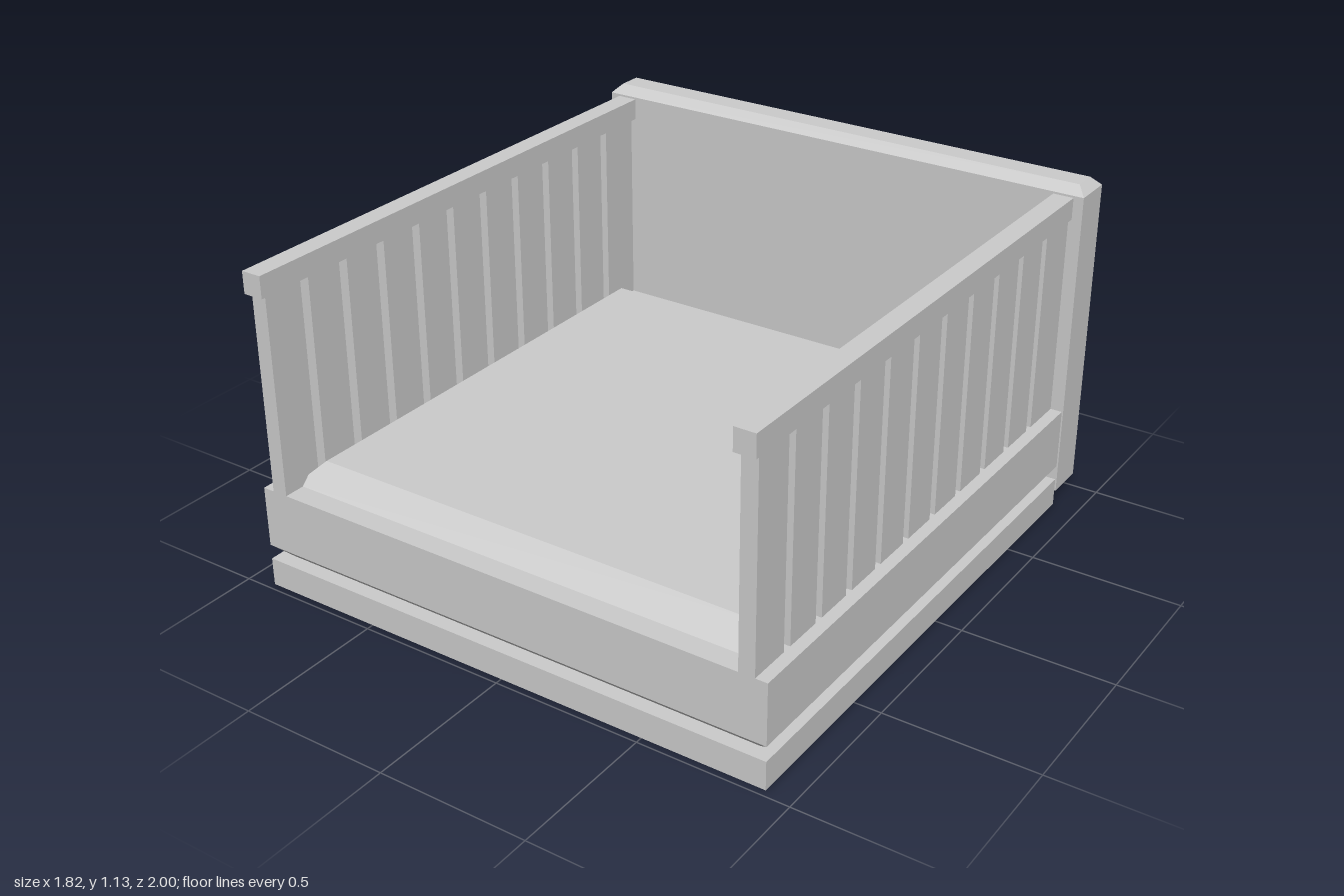
import * as THREE from 'three';

const material = new THREE.MeshStandardMaterial({ color: 0xcccccc, flatShading: true });

// Block from [x0,x1], [y0,y1], [z0,z1]; 45 degree chamfers may narrow its bottom or top
function block(name, [x0, x1], [y0, y1], [z0, z1], { top = 0, bottom = 0 } = {}) {
  const rings = [[y0, bottom], [y0 + bottom, 0], [y1 - top, 0], [y1, top]]
    .filter(([y], i, all) => i === 0 || y - all[i - 1][0] > 1e-6);
  // when a chamfer fills the full height only the end rings remain
  if (top && y1 - top - y0 < 1e-6) rings[0][1] = 0;
  const n = rings.length - 1;
  const geo = new THREE.BoxGeometry(1, 1, 1, 1, n, 1);
  const p = geo.attributes.position;
  for (let i = 0; i < p.count; i++) {
    const [y, inset] = rings[Math.round((p.getY(i) + 0.5) * n)];
    p.setXYZ(i,
      p.getX(i) < 0 ? x0 + inset : x1 - inset,
      y,
      p.getZ(i) < 0 ? z0 + inset : z1 - inset);
  }
  const flat = geo.toNonIndexed();
  flat.computeVertexNormals();
  const mesh = new THREE.Mesh(flat, material);
  mesh.name = name;
  return mesh;
}

export function createModel() {
  const bed = new THREE.Group();
  bed.name = 'bed';
  const W = 0.91, back = -0.848, front = 0.977;

  // Plinth and the frame with its undercut lower edge
  bed.add(block('plinth', [-W, W], [0, 0.095], [back, front]));
  bed.add(block('frame', [-W, W], [0.095, 0.35], [back, front], { bottom: 0.05 }));

  // Mattress with sloping edges
  bed.add(block('mattress', [-0.846, 0.846], [0.35, 0.42], [-0.785, 0.905], { top: 0.07 }));

  // Headboard with a chamfered top
  bed.add(block('headboard', [-W, W], [0.045, 1.13], [-1, -0.86], { top: 0.03 }));

  // Side railings: eleven slats under a top rail
  const gaps = 10, pitch = 0.166, gapWidth = 0.033, firstGap = 0.833;
  for (const side of [-1, 1]) {
    const railing = new THREE.Group();
    railing.name = side > 0 ? 'leftRailing' : 'rightRailing';
    const span = (a, b) => (side > 0 ? [a, b] : [-b, -a]);
    for (let i = 0; i <= gaps; i++) {
      const zFront = i === 0 ? front : firstGap - gapWidth - (i - 1) * pitch;
      const zBack = i === gaps ? back : firstGap - i * pitch;
      railing.add(block('slat', span(0.817, 0.87), [0.35, 1.02], [zBack, zFront]));
    }
    railing.add(block('topRail', span(0.807, 0.876), [1.02, 1.093], [-0.86, 1]));
    bed.add(railing);
  }
  return bed;
}
